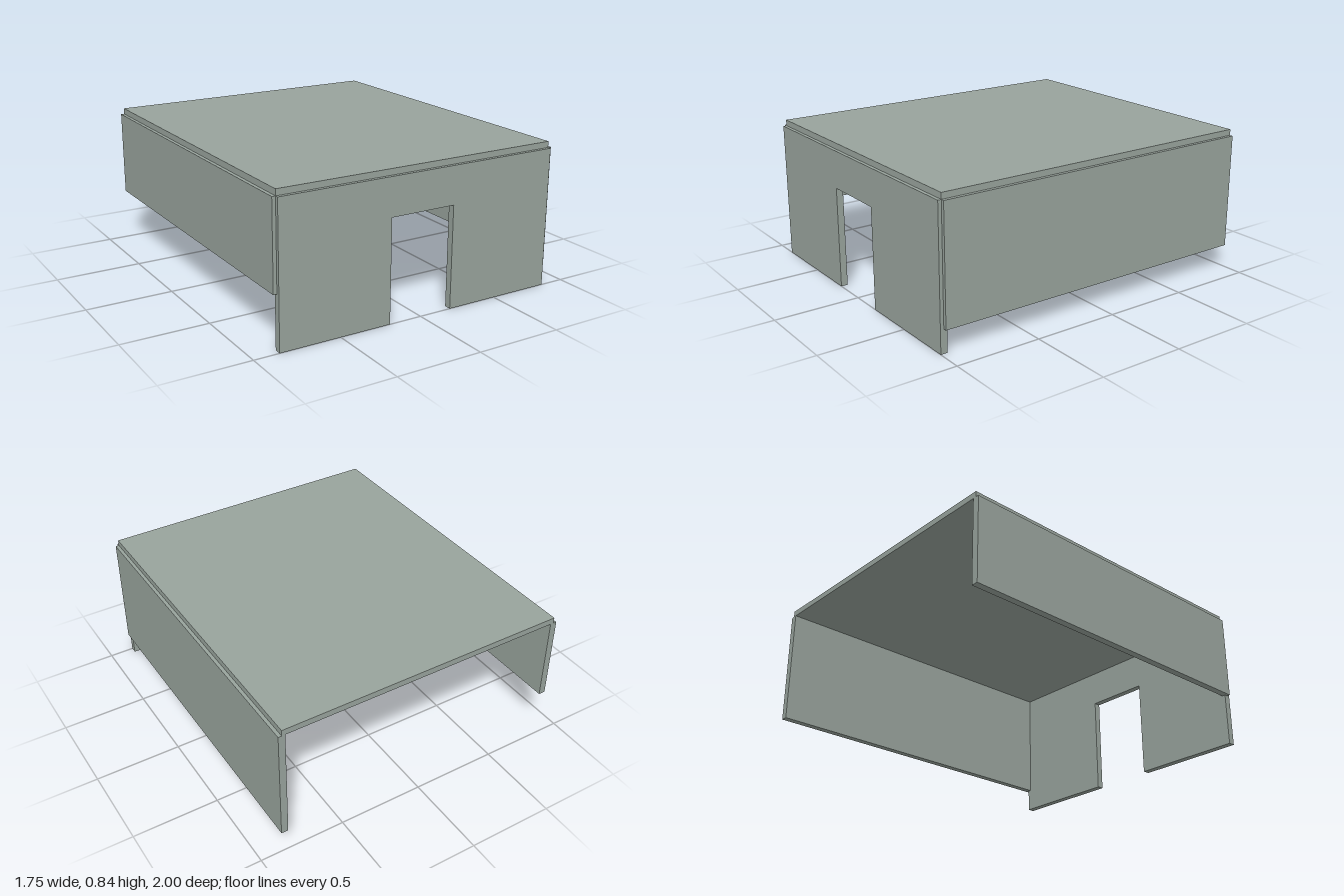
import * as THREE from 'three';

export function createModel() {
  const group = new THREE.Group();
  const board = new THREE.MeshStandardMaterial({ color: 0x98a39c });
  const wood = new THREE.MeshStandardMaterial({ color: 0xb5793a });

  // A box given by its extents along each axis
  const slab = (name, [x0, x1], [y0, y1], [z0, z1], material = board) => {
    const mesh = new THREE.Mesh(new THREE.BoxGeometry(x1 - x0, y1 - y0, z1 - z0), material);
    mesh.name = name;
    mesh.position.set((x0 + x1) / 2, (y0 + y1) / 2, (z0 + z1) / 2);
    group.add(mesh);
  };

  const top = 0.808;

  // Flat roof, open at the back
  slab('roof', [-0.855, 0.855], [top, 0.843], [-1, 0.98]);

  // Side walls, the right one shallower
  slab('leftWall', [0.835, 0.875], [0.135, top], [-1, 0.98]);
  slab('rightWall', [-0.875, -0.835], [0.307, top], [-1, 0.98]);

  // Front panels either side of the doorway, with the lintel between
  slab('leftFrontPanel', [0.195, 0.855], [0, top], [0.96, 1]);
  slab('rightFrontPanel', [-0.855, -0.197], [0, top], [0.96, 1]);
  slab('doorLintel', [-0.197, 0.195], [0.59, top], [0.96, 1]);

  // Two small rails under the roof along the right wall
  for (const z of [0.74, 0.1]) {
    slab('rail', [-0.835, -0.79], [0.795, top], [z - 0.21, z + 0.21]);
    slab('railInsert', [-0.828, -0.808], [0.79, 0.796], [z - 0.18, z + 0.18], wood);
  }
  return group;
}
